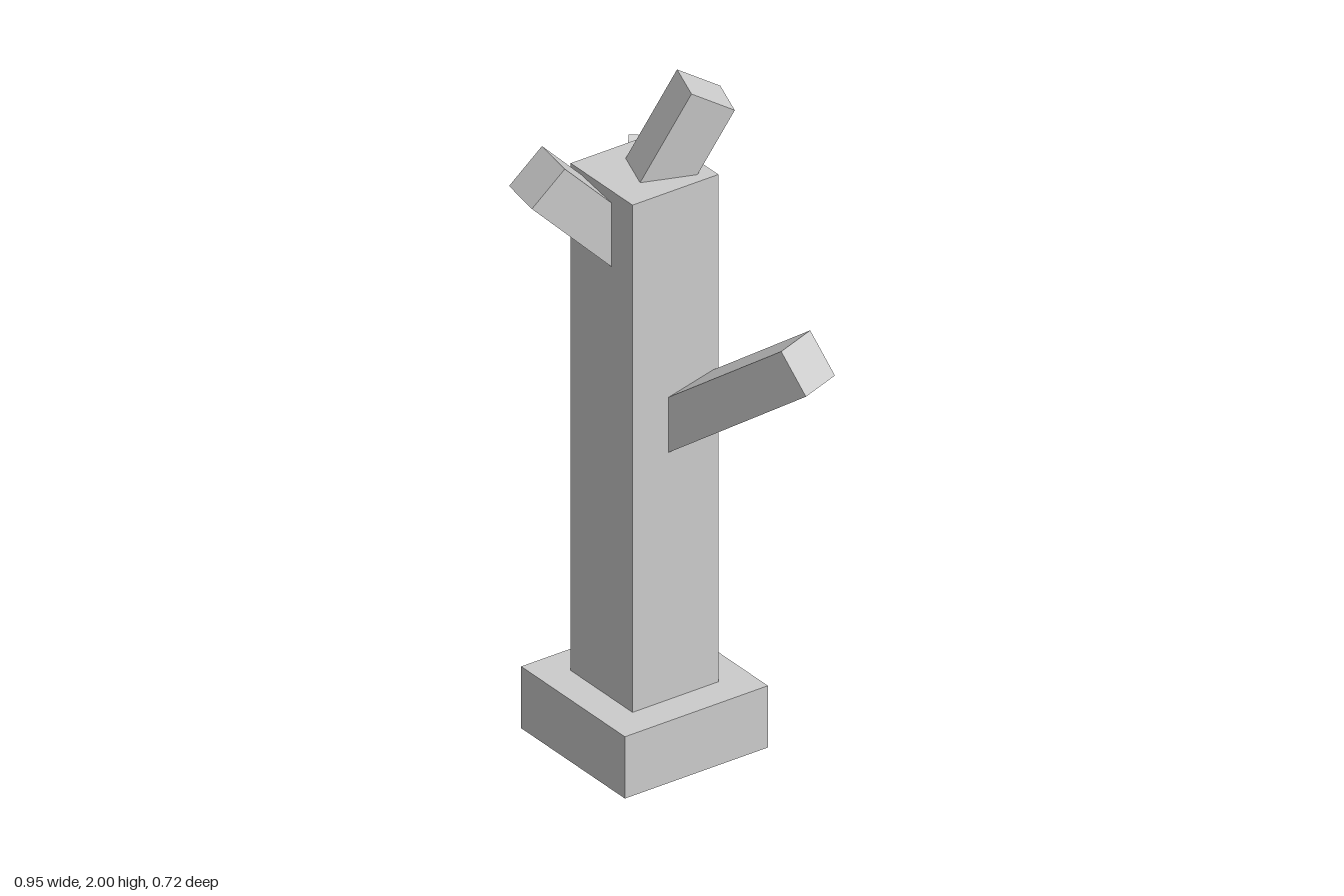
import * as THREE from 'three';

export function createModel() {
  const group = new THREE.Group();
  const grey = new THREE.MeshStandardMaterial({ color: 0xcccccc, flatShading: true });
  grey.name = 'light grey';

  const box = (name, w, h, d, x, y, z) => {
    const mesh = new THREE.Mesh(new THREE.BoxGeometry(w, h, d), grey);
    mesh.name = name;
    mesh.position.set(x, y, z);
    group.add(mesh);
    return mesh;
  };

  // Foot and trunk
  const cx = -0.085, cz = -0.018;
  box('base', 0.473, 0.19, 0.473, cx, 0.095, cz);
  box('trunk', 0.282, 1.56, 0.284, cx, 0.97, cz);

  // Square branches growing from the trunk axis to the centre of each tip
  const branch = (name, tip) => {
    const start = new THREE.Vector3(cx, tip.startY, cz);
    const end = new THREE.Vector3(...tip.end);
    const dir = end.clone().sub(start);
    const mid = start.clone().add(end).multiplyScalar(0.5);
    const mesh = box(name, 0.139, 0.139, dir.length(), mid.x, mid.y, mid.z);
    mesh.rotation.order = 'YXZ';
    mesh.rotation.y = Math.atan2(dir.x, dir.z);
    mesh.rotation.x = -Math.atan2(dir.y, Math.hypot(dir.x, dir.z));
  };
  branch('leftBranch', { startY: 0.947, end: [0.411, 1.318, -0.199] });
  branch('rightBranch', { startY: 1.257, end: [-0.395, 1.596, -0.28] });
  branch('frontBranch', { startY: 1.483, end: [-0.14, 1.803, 0.298] });
  branch('topBranch', { startY: 1.667, end: [-0.027, 1.966, -0.179] });

  return group;
}
